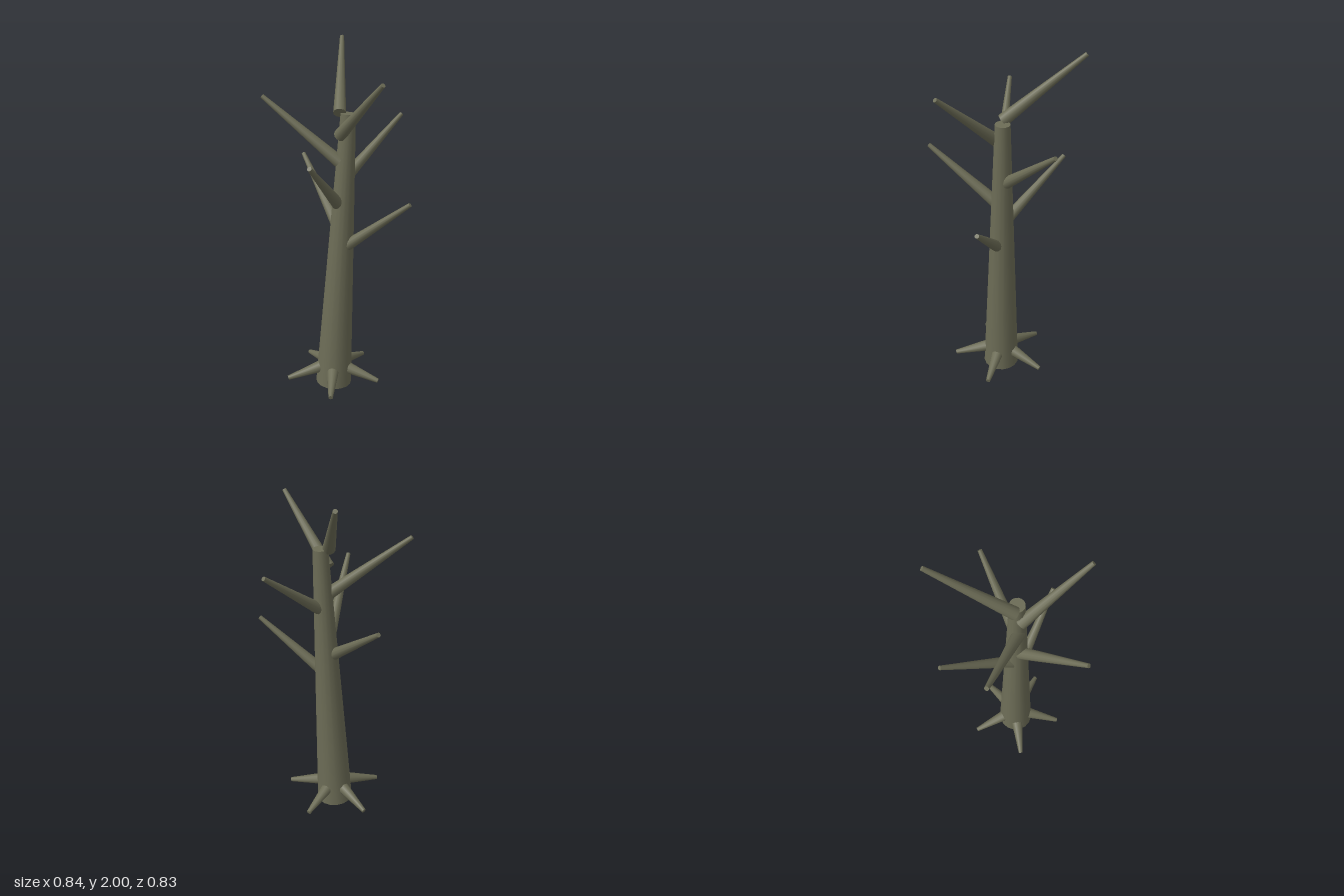
import * as THREE from 'three';

const bark = new THREE.MeshStandardMaterial({ color: 0x6c6c56 });
bark.name = 'bark';

// Capped, tapered limb running from one point to another
function limb(name, from, to, r0, r1, sides) {
  const a = new THREE.Vector3(...from);
  const b = new THREE.Vector3(...to);
  const dir = b.clone().sub(a);
  const mesh = new THREE.Mesh(new THREE.CylinderGeometry(r1, r0, dir.length(), sides), bark);
  mesh.position.copy(a).add(b).multiplyScalar(0.5);
  mesh.quaternion.setFromUnitVectors(new THREE.Vector3(0, 1, 0), dir.normalize());
  mesh.name = name;
  return mesh;
}

export function createModel() {
  const tree = new THREE.Group();
  tree.name = 'deadTree';

  // Slightly leaning trunk
  tree.add(limb('trunk', [-0.028, 0.006, 0.005], [0.047, 1.643, -0.024], 0.105, 0.041, 16));

  // Bare branches spiralling up the trunk: base, tip
  const branches = [
    [[0.02, 0.872, 0.004], [0.412, 1.185, 0.003]],
    [[0.0, 1.0, 0.0], [-0.328, 1.322, -0.274]],
    [[0.003, 1.147, 0.02], [0.006, 1.452, 0.405]],
    [[0.03, 1.28, -0.015], [0.243, 1.59, -0.348]],
    [[0.01, 1.38, 0.005], [-0.413, 1.72, 0.07]],
    [[0.015, 1.53, 0.015], [0.322, 1.855, 0.23]],
    [[0.003, 1.645, -0.012], [-0.137, 1.99, -0.405]],
  ];
  branches.forEach(([base, tip], i) => tree.add(limb(`branch${i + 1}`, base, tip, 0.035, 0.012, 12)));

  // Five roots splayed evenly around the foot
  for (let i = 0; i < 5; i++) {
    const t = (i * Math.PI * 2) / 5;
    const at = (r, y) => [-0.027 + r * Math.cos(t), y, 0.004 + r * Math.sin(t)];
    tree.add(limb(`root${i + 1}`, at(0.08, 0.113), at(0.28, 0.062), 0.035, 0.013, 12));
  }
  return tree;
}
